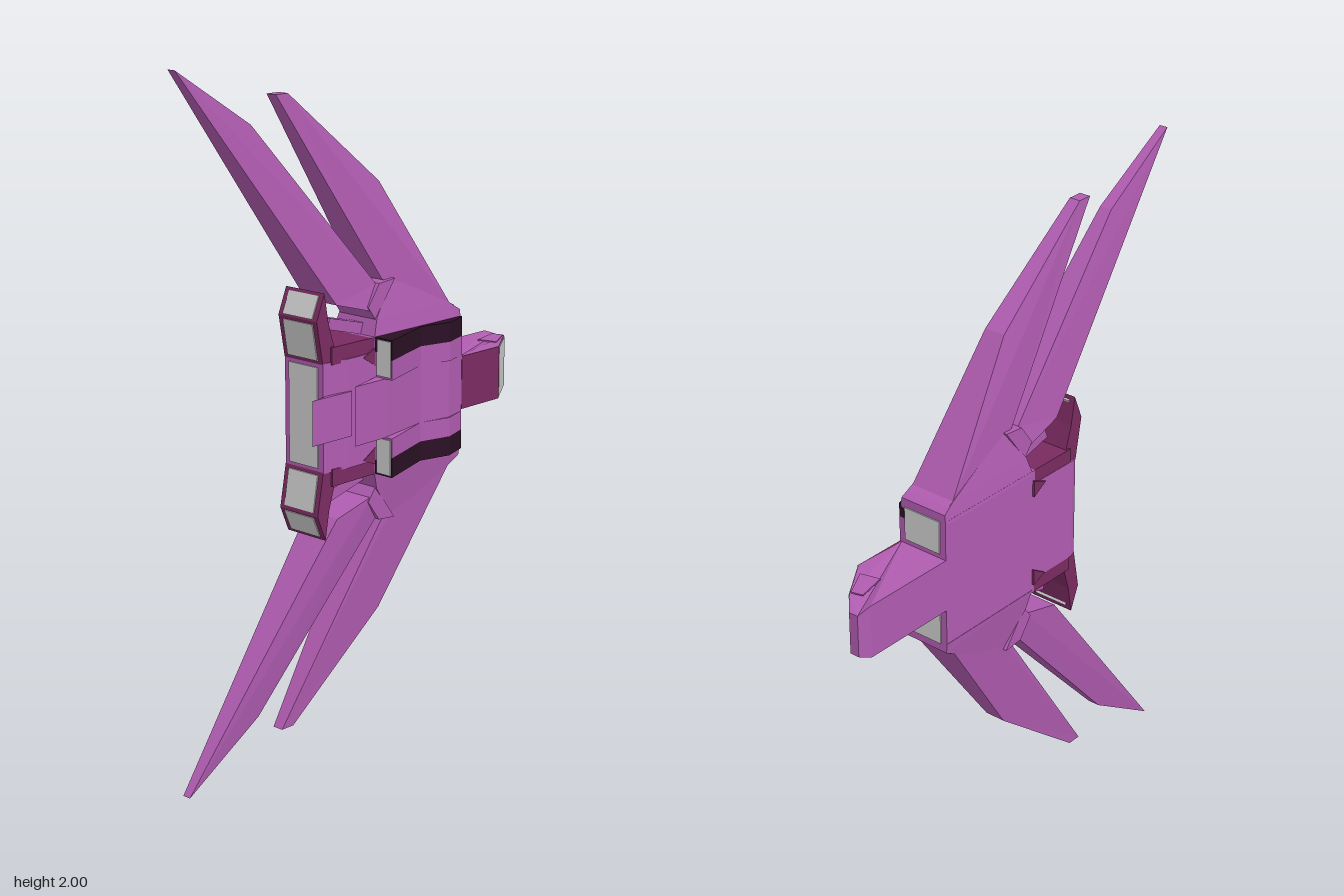
import * as THREE from 'three';

const mat = (color) => new THREE.MeshStandardMaterial({ color, flatShading: true, side: THREE.DoubleSide });
const purple = mat(0xb05cb0), magenta = mat(0x7a2a60), dark = mat(0x2a1024), grey = mat(0xcccccc);
const AXIS = -0.035; // middle of the wing thickness in x

export function createModel() {
  const ship = new THREE.Group();
  ship.position.y = 1; // the ship stands on a wing tip, mirrored about y = 1
  const body = new THREE.Group();
  ship.add(body);

  const add = (name, geometry, material) => {
    geometry.computeVertexNormals();
    const mesh = new THREE.Mesh(geometry, material);
    mesh.name = name;
    body.add(mesh);
    return mesh;
  };
  const extrude = (pts, depth) => new THREE.ExtrudeGeometry(
    new THREE.Shape(pts.map(([a, b]) => new THREE.Vector2(a, b))), { depth, bevelEnabled: false });

  // Profile of [x, z] points swept in y from y0 to y1
  const slab = (name, pts, y0, y1, material) => add(name,
    extrude(pts.map(([x, z]) => [x, -z]), y1 - y0).rotateX(-Math.PI / 2).translate(0, y0, 0), material);

  // Plan of [z, y] points; half(y) gives the half thickness in x about the axis
  const plate = (name, pts, half, material) => {
    const g = extrude(pts.map(([z, y]) => [-z, y]), 1).rotateY(Math.PI / 2);
    const p = g.attributes.position;
    for (let i = 0; i < p.count; i++) {
      p.setX(i, AXIS + (p.getX(i) > 0.5 ? 1 : -1) * half(Math.abs(p.getY(i))));
    }
    return add(name, g, material);
  };
  const box = (name, x0, x1, y0, y1, z0, z1, material) => add(name,
    new THREE.BoxGeometry(x1 - x0, y1 - y0, z1 - z0)
      .translate((x0 + x1) / 2, (y0 + y1) / 2, (z0 + z1) / 2), material);

  // Wing thickness falls from root to tip
  const stations = [[0.18, 0.082], [0.22, 0.078], [0.355, 0.055], [0.77, 0.023], [1, 0.014]];
  const wingHalf = (h) => {
    for (let i = 1; i < stations.length; i++) {
      const [a, ta] = stations[i - 1], [b, tb] = stations[i];
      if (h <= b) return ta + (tb - ta) * Math.max(0, (h - a) / (b - a));
    }
    return 0.014;
  };

  // Hull
  slab('hull', [[-0.115, -0.35], [0.05, -0.35], [0.05, 0.13], [0.045, 0.16], [0.04, 0.22],
    [-0.108, 0.22], [-0.115, 0.2]], -0.158, 0.158, purple);

  // Nose with narrowed tip
  const nose = slab('nose', [[-0.115, -0.34], [-0.115, -0.65], [-0.105, -0.69], [-0.075, -0.69],
    [-0.03, -0.64], [0.05, -0.52], [0.05, -0.34]], -0.08, 0.08, purple);
  const np = nose.geometry.attributes.position;
  for (let i = 0; i < np.count; i++) if (np.getZ(i) < -0.68) np.setY(i, np.getY(i) * 0.8);
  nose.geometry.computeVertexNormals();
  slab('canopy', [[-0.028, -0.641], [0.052, -0.521], [0.045, -0.52], [-0.03, -0.63]], -0.076, 0.076, grey);
  box('noseDeck', 0.045, 0.052, -0.08, 0.08, -0.52, -0.351, magenta);

  // Stepped dorsal ridge and tail plate
  slab('dorsalRidge', [[0.04, -0.35], [0.052, -0.35], [0.072, -0.27], [0.052, -0.17],
    [0.085, 0.015], [0.085, 0.14], [0.045, 0]], -0.086, 0.086, purple);
  slab('tailPlate', [[0.03, 0.12], [0.055, 0.12], [0.052, 0.275], [0.04, 0.2]], -0.065, 0.065, purple);
  box('rearExhaust', -0.09, 0.02, -0.145, 0.145, 0.21, 0.224, grey);

  for (const s of [1, -1]) {
    const m = (pts) => pts.map(([z, h]) => [z, s * h]);
    const span = (a, b) => (s > 0 ? [a, b] : [-b, -a]);

    // Zigzag pods with a dark outer half and a rear vent
    const pod = [[0.03, -0.35], [0.052, -0.35], [0.077, -0.27], [0.052, -0.17], [0.11, 0.015], [0.03, 0.015]];
    slab('podInner', pod, ...span(0.085, 0.142), purple);
    slab('podOuter', pod, ...span(0.142, 0.2), dark);
    box('podVent', 0.054, 0.106, ...span(0.091, 0.195), 0.01, 0.018, grey);

    // Side of the hull and front intake
    slab('hullSide', [[-0.115, -0.35], [0.045, -0.35], [0.045, 0.03], [-0.115, 0.03]],
      ...span(0.15, 0.2), purple);
    box('frontIntake', -0.095, 0.03, ...span(0.095, 0.195), -0.354, -0.34, grey);
    box('sideRail', -0.114, 0.046, ...span(0.15, 0.2), 0.02, 0.19, magenta);
    plate('railWedge', m([[0.07, 0.15], [0.02, 0.12], [0.02, 0.17]]), () => 0.087, magenta);

    // Shoulder, wings and the joint between them
    plate('shoulder', m([[-0.35, 0.19], [-0.35, 0.22], [-0.31, 0.245], [-0.08, 0.355],
      [0, 0.25], [0.02, 0.19]]), (h) => wingHalf(h), purple);
    plate('frontWing', m([[-0.33, 0.235], [-0.31, 0.245], [-0.05, 0.63], [0.29, 0.905],
      [0.335, 0.905], [-0.04, 0.355], [-0.08, 0.33]]), (h) => wingHalf(h) * 0.98, purple);
    plate('rearWing', m([[-0.015, 0.345], [0.43, 0.835], [0.69, 1], [0.15, 0.31], [0.01, 0.27]]),
      (h) => wingHalf(h) * 0.95, purple);
    plate('wingJoint', m([[-0.08, 0.353], [-0.015, 0.347], [0.03, 0.285], [0, 0.245]]),
      () => 0.068, purple);
    plate('barrel', m([[-0.02, 0.195], [-0.02, 0.225], [0.14, 0.266], [0.152, 0.236], [0.01, 0.198]]),
      () => 0.025, purple);

    // Bent rear fin with two exhaust panels
    plate('rearFin', m([[0.1, 0.155], [0.22, 0.155], [0.243, 0.28], [0.212, 0.355],
      [0.197, 0.27], [0.175, 0.2], [0.1, 0.2]]), () => 0.074, magenta);
    plate('innerExhaust', m([[0.21, 0.165], [0.226, 0.165], [0.244, 0.27], [0.23, 0.27]]),
      () => 0.057, grey);
    plate('outerExhaust', m([[0.23, 0.285], [0.245, 0.285], [0.218, 0.347], [0.205, 0.34]]),
      () => 0.057, grey);

    // Side window frame on the nose
    const frame = new THREE.Shape([[-0.065, 0.625], [-0.03, 0.635], [0.015, 0.55], [-0.045, 0.535]]
      .map(([x, z]) => new THREE.Vector2(x, z)));
    add('noseWindow', new THREE.ExtrudeGeometry(frame, { depth: 0.004, bevelEnabled: false })
      .rotateX(-Math.PI / 2).translate(0, s > 0 ? 0.079 : -0.083, 0), purple);
  }
  return ship;
}
